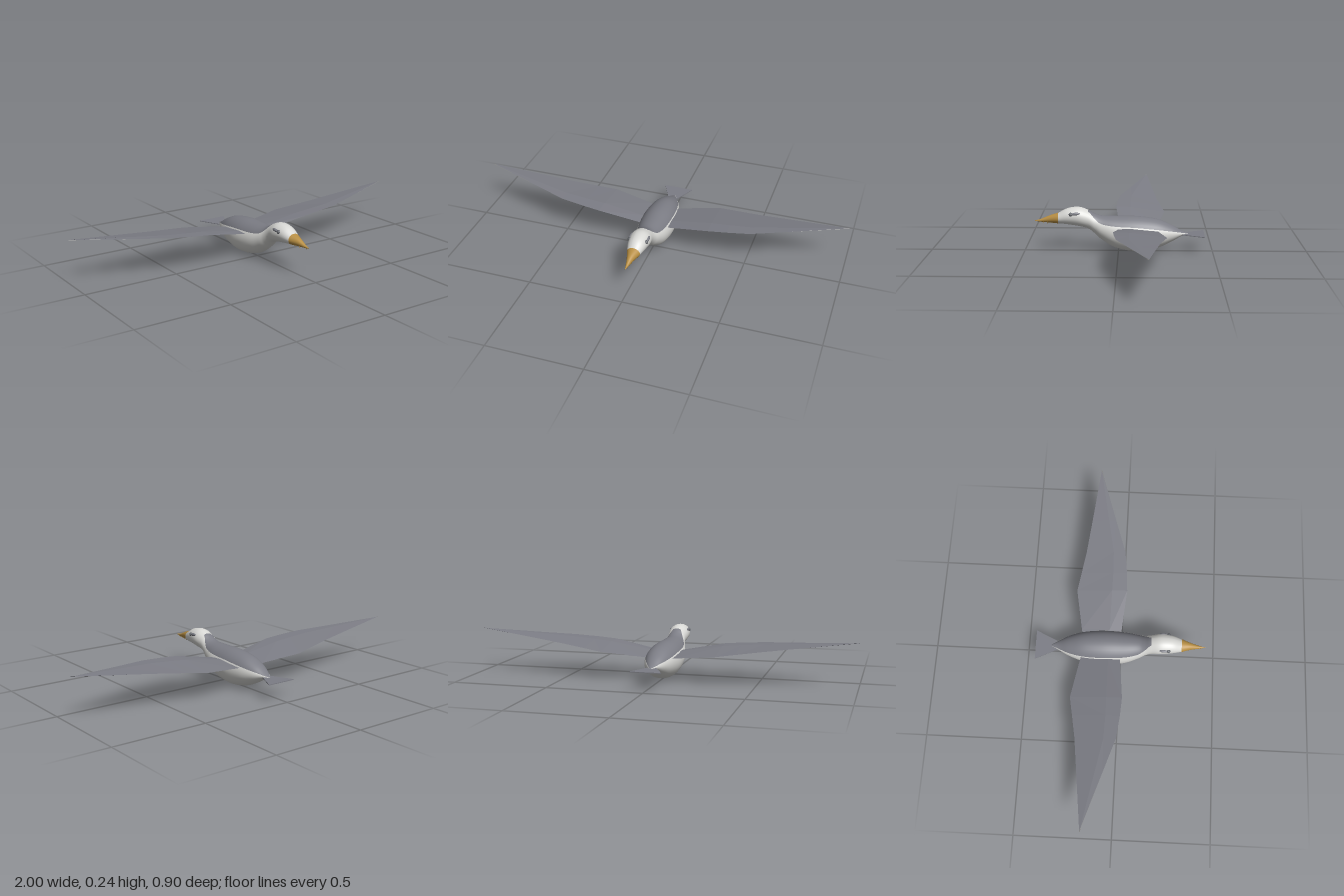
import * as THREE from 'three';

const paint = (name, color) => Object.assign(new THREE.MeshStandardMaterial({ color }), { name });

// Smooth tube along z. Each section: [z, top, bottom, halfWidth, angle of the back's edge]
function loft(sections, steps, isBack) {
  const UP = 12, DOWN = 24, N = UP + DOWN;
  const times = sections.map((_, i) => i);
  const curve = new THREE.CubicInterpolant(times, sections.flat(), 5);
  const pos = [], zs = [], backIdx = [], restIdx = [];
  for (let i = 0; i <= steps; i++) {
    const [z, top, bottom, hw, a] = [...curve.evaluate((i / steps) * (sections.length - 1))];
    zs.push(z);
    for (let j = 0; j < N; j++) {
      const t = j < UP
        ? a + (j / UP) * (Math.PI - 2 * a)
        : Math.PI - a + ((j - UP) / DOWN) * (Math.PI + 2 * a);
      pos.push(hw * Math.cos(t), (top + bottom) / 2 + ((top - bottom) / 2) * Math.sin(t), z);
    }
  }
  for (let i = 0; i < steps; i++) {
    for (let j = 0; j < N; j++) {
      const k = (j + 1) % N, p = i * N, q = p + N;
      const list = j < UP && isBack(zs[i]) ? backIdx : restIdx;
      list.push(p + j, q + j, p + k, p + k, q + j, q + k);
    }
  }
  const g = new THREE.BufferGeometry();
  g.setAttribute('position', new THREE.Float32BufferAttribute(pos, 3));
  g.setIndex([...restIdx, ...backIdx]);
  g.addGroup(0, restIdx.length, 0);
  g.addGroup(restIdx.length, backIdx.length, 1);
  g.computeVertexNormals();
  return g;
}

// Flat-faced geometry from a list of quads
function fromQuads(quads, mirrored) {
  const pos = [];
  for (const [a, b, c, d] of quads) {
    const order = mirrored ? [a, c, b, a, d, c] : [a, b, c, a, c, d];
    order.forEach((p) => pos.push(...p));
  }
  const g = new THREE.BufferGeometry();
  g.setAttribute('position', new THREE.Float32BufferAttribute(pos, 3));
  g.computeVertexNormals();
  return g;
}

export function createModel() {
  const white = paint('white plumage', 0xd8d8d5);
  const grey = paint('grey plumage', 0x7c7d85);
  const under = paint('underwing', 0xc8c8c2);
  const dark = paint('dark wingtip', 0x868684);
  const yellow = paint('beak yellow', 0xb88f44);
  const eyeGrey = paint('eye grey', 0x66696e);

  const bird = new THREE.Group();
  bird.name = 'bird';
  const add = (name, geometry, material, parent = bird) => {
    const m = new THREE.Mesh(geometry, material);
    m.name = name;
    parent.add(m);
    return m;
  };

  // Head, neck and body in one, with a grey back
  add('body', loft([
    [0.32, 0.207, 0.152, 0.034, 1.15],
    [0.27, 0.233, 0.147, 0.047, 1.15],
    [0.21, 0.24, 0.138, 0.054, 1.15],
    [0.16, 0.224, 0.125, 0.049, 1.1],
    [0.125, 0.204, 0.098, 0.053, 0.7],
    [0.09, 0.194, 0.067, 0.064, 0.5],
    [0.015, 0.192, 0.022, 0.083, 0.53],
    [-0.095, 0.191, 0.003, 0.09, 0.54],
    [-0.2, 0.177, 0.019, 0.078, 0.47],
    [-0.275, 0.148, 0.052, 0.055, 0.45],
    [-0.33, 0.117, 0.083, 0.027, 0.5],
    [-0.37, 0.1, 0.095, 0.004, 0.5],
  ], 55, (z) => z < 0.161), [white, grey]);

  // Beak with small teeth along its lower edge
  add('beak', loft([
    [0.445, 0.166, 0.163, 0.001, 0.5],
    [0.415, 0.173, 0.159, 0.007, 0.5],
    [0.365, 0.194, 0.155, 0.019, 0.5],
    [0.319, 0.208, 0.151, 0.035, 0.5],
  ], 12, () => false), [yellow, yellow]);
  for (const s of [-1, 1]) {
    [0.42, 0.4, 0.378, 0.353].forEach((z, i) => {
      const tooth = add('tooth', new THREE.ConeGeometry(0.0018, 0.012, 5), yellow);
      tooth.position.set(s * (0.004 + i * 0.0035), 0.157, z);
      tooth.rotation.x = Math.PI;
    });
  }

  // Eyes, each with a streak behind it
  for (const s of [-1, 1]) {
    const eye = new THREE.Group();
    eye.name = s > 0 ? 'leftEye' : 'rightEye';
    bird.add(eye);
    add('eyeball', new THREE.SphereGeometry(0.011, 16, 12), eyeGrey, eye).position.set(s * 0.043, 0.207, 0.25);
    const streak = add('eyeStreak', new THREE.SphereGeometry(1, 16, 10), grey, eye);
    streak.scale.set(0.008, 0.008, 0.024);
    streak.position.set(s * 0.046, 0.211, 0.226);
    streak.rotation.x = 0.1;
  }

  // Wing ribs: [x, leading z, leading y, trailing z, trailing y, thickness]
  const ribs = [
    [0.03, -0.01, 0.13, -0.2, 0.122, 0.013],
    [0.085, 0.0, 0.139, -0.212, 0.127, 0.013],
    [0.3, 0.02, 0.178, -0.25, 0.15, 0.012],
    [0.4, 0.014, 0.187, -0.232, 0.163, 0.01],
    [0.52, 0.0, 0.196, -0.211, 0.178, 0.008],
    [0.7, -0.058, 0.21, -0.189, 0.2, 0.006],
    [1.0, -0.155, 0.235, -0.15, 0.234, 0.002],
  ];
  for (const s of [-1, 1]) {
    const wing = new THREE.Group();
    wing.name = s > 0 ? 'leftWing' : 'rightWing';
    bird.add(wing);
    // Diamond section: trailing edge, top, leading edge, bottom
    const rings = ribs.map(([x, zl, yl, zt, yt, h]) => {
      const zm = zl + (zt - zl) * 0.3, ym = yl + (yt - yl) * 0.3;
      return [[s * x, yt, zt], [s * x, ym + h / 2, zm], [s * x, yl, zl], [s * x, ym - h / 2, zm], [s * x, yt, zt]];
    });
    const upper = [], lower = [], tip = [];
    for (let i = 0; i < rings.length - 1; i++) {
      for (let k = 0; k < 4; k++) {
        const list = k < 2 ? upper : i === rings.length - 2 ? tip : lower;
        list.push([rings[i][k], rings[i][k + 1], rings[i + 1][k + 1], rings[i + 1][k]]);
      }
    }
    add('wingTop', fromQuads(upper, s < 0), grey, wing);
    add('wingUnderside', fromQuads(lower, s < 0), under, wing);
    add('wingtipUnderside', fromQuads(tip, s < 0), dark, wing);
  }

  // Fan tail
  const fan = new THREE.Shape([[-0.02, 0.33], [0.02, 0.33], [0.08, 0.455], [-0.08, 0.455]]
    .map(([x, y]) => new THREE.Vector2(x, y)));
  const tail = add('tail', new THREE.ExtrudeGeometry(fan, { depth: 0.004, bevelEnabled: false }), grey);
  tail.rotation.x = -Math.PI / 2;
  tail.position.y = 0.094;

  return bird;
}
